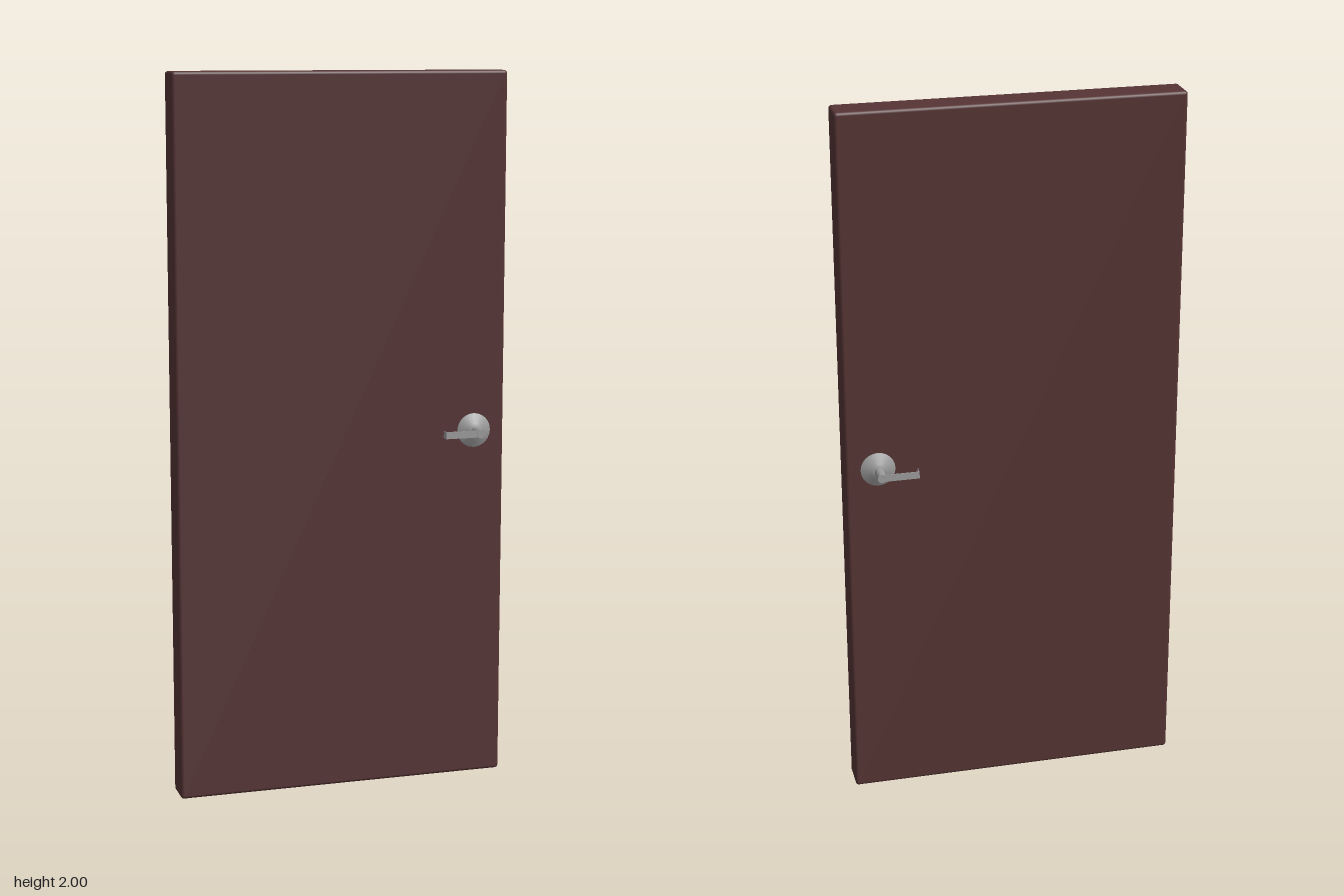
import * as THREE from 'three';
import { RoundedBoxGeometry } from 'three/addons/geometries/RoundedBoxGeometry.js';

const wood = new THREE.MeshStandardMaterial({ color: 0x563434 });
wood.name = 'dark red wood';
const metal = new THREE.MeshStandardMaterial({ color: 0x9c9c9c });
metal.name = 'brushed metal';

function addMesh(parent, name, geometry, material, x = 0, y = 0, z = 0) {
  const mesh = new THREE.Mesh(geometry, material);
  mesh.name = name;
  mesh.position.set(x, y, z);
  parent.add(mesh);
  return mesh;
}

// One lever handle; side is +1 on the front face and -1 on the back
function createHandle(side) {
  const handle = new THREE.Group();
  handle.name = side > 0 ? 'frontHandle' : 'backHandle';
  handle.position.set(0.381, 1.003, 0);

  // Domed rose against the door, with a collar around the spindle
  const profile = [[0.048, 0.044], [0.048, 0.049], [0.02, 0.059], [0.015, 0.065], [0, 0.065]];
  const points = profile.map(([r, h]) => new THREE.Vector2(r, h));
  const rose = addMesh(handle, 'rose', new THREE.LatheGeometry(points, 24), metal);
  rose.rotation.x = side * Math.PI / 2;

  // Round spindle standing out from the rose
  const spindle = addMesh(handle, 'spindle',
    new THREE.CylinderGeometry(0.0125, 0.0125, 0.051, 16), metal, 0, 0, side * 0.0855);
  spindle.rotation.x = side * Math.PI / 2;

  // Thin lever strip with its tip bent back to the door
  addMesh(handle, 'lever', new THREE.BoxGeometry(0.102, 0.02, 0.002), metal, -0.051, 0, side * 0.109);
  addMesh(handle, 'leverTip', new THREE.BoxGeometry(0.002, 0.02, 0.022), metal, -0.102, 0, side * 0.099);
  return handle;
}

export function createModel() {
  const door = new THREE.Group();
  door.name = 'door';

  // Plain slab with slightly softened edges
  addMesh(door, 'doorPanel', new RoundedBoxGeometry(0.94, 2, 0.09, 3, 0.009), wood, 0, 1, 0);

  for (const side of [1, -1]) door.add(createHandle(side));
  return door;
}
